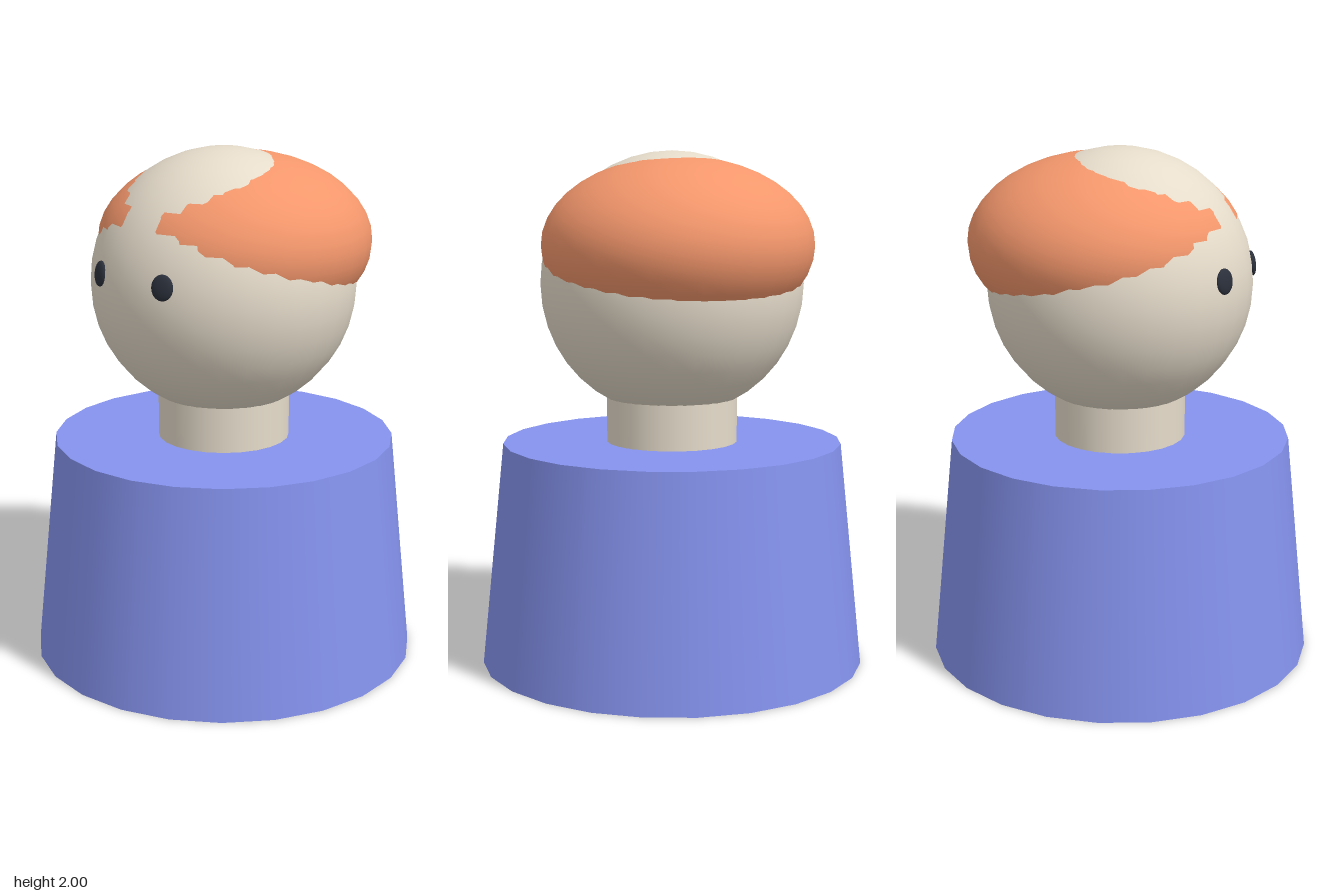
import * as THREE from 'three';

const paint = (color) => new THREE.MeshStandardMaterial({ color });

export function createModel() {
  const group = new THREE.Group();
  const skin = paint(0xe6dccb);
  const dark = paint(0x2b303b);

  const add = (name, geometry, material, x, y, z) => {
    const mesh = new THREE.Mesh(geometry, material);
    mesh.name = name;
    mesh.position.set(x, y, z);
    group.add(mesh);
    return mesh;
  };

  // Tapered body, closed at both ends
  const bodyHeight = 0.875;
  add('body', new THREE.CylinderGeometry(0.66, 0.75, bodyHeight, 24),
    paint(0x8593ee), 0, bodyHeight / 2, 0);

  // Neck runs from inside the body up into the head
  add('neck', new THREE.CylinderGeometry(0.255, 0.255, 0.4, 24), skin, 0, 0.98, 0);

  // Round head
  const headCentre = new THREE.Vector3(0, 1.49, 0);
  const headRadius = 0.51;
  add('head', new THREE.SphereGeometry(headRadius, 32, 20), skin, ...headCentre);

  // Flattened hair ball set back on the head, so the crown pokes through
  const hair = new THREE.SphereGeometry(0.525, 32, 20);
  hair.scale(1, 0.34 / 0.525, 1);
  add('hair', hair, paint(0xf4976c), 0, 1.64, -0.06);

  // Flat oval eyes lying on the surface of the face
  const eyeGeometry = new THREE.SphereGeometry(1, 20, 14);
  eyeGeometry.scale(0.044, 0.048, 0.016);
  for (const side of [1, -1]) {
    const dir = new THREE.Vector3(side * 0.17, 0.07, 0.475).normalize();
    const spot = dir.clone().multiplyScalar(headRadius - 0.003).add(headCentre);
    const eye = add(side > 0 ? 'leftEye' : 'rightEye', eyeGeometry, dark, ...spot);
    eye.lookAt(spot.clone().add(dir));
  }

  return group;
}
